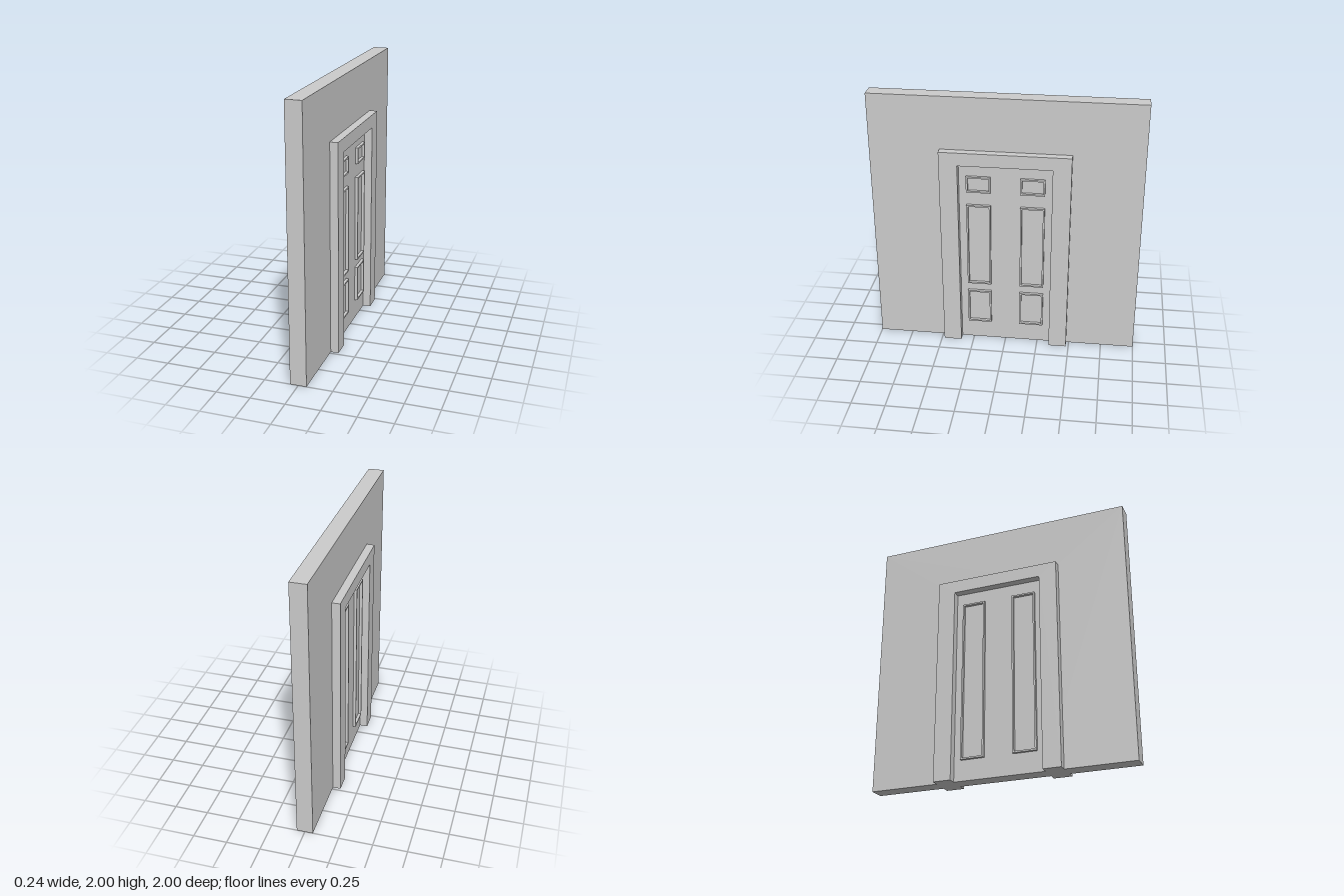
import * as THREE from 'three';

const material = new THREE.MeshStandardMaterial({ color: 0xcccccc });

const WALL = 0.06;          // half thickness of wall and door
const CASING = 0.06;        // projection of the door casing
const MOULDING = 0.022;     // projection of the panel mouldings
const OPENING = { w: 0.345, h: 1.5 };

// Outline of an upright arch standing on the floor, open at the bottom
function portalShape(outerW, outerH) {
  return new THREE.Shape([
    [-outerW, 0], [-OPENING.w, 0], [-OPENING.w, OPENING.h], [OPENING.w, OPENING.h],
    [OPENING.w, 0], [outerW, 0], [outerW, outerH], [-outerW, outerH],
  ].map(([x, y]) => new THREE.Vector2(x, y)));
}

function rectPoints(x0, x1, y0, y1) {
  return [[x0, y0], [x1, y0], [x1, y1], [x0, y1]].map(([x, y]) => new THREE.Vector2(x, y));
}

// Extrude a shape drawn on the door face, starting at depth z
function extruded(name, shape, depth, z) {
  const geometry = new THREE.ExtrudeGeometry(shape, { depth, bevelEnabled: false });
  const mesh = new THREE.Mesh(geometry, material);
  mesh.position.z = z;
  mesh.name = name;
  return mesh;
}

// Thin raised rectangular frame around one door panel
function panelMoulding(x0, x1, y0, y1) {
  const t = 0.012;
  const shape = new THREE.Shape(rectPoints(x0, x1, y0, y1));
  shape.holes.push(new THREE.Path(rectPoints(x0 + t, x1 - t, y0 + t, y1 - t).reverse()));
  return extruded('panelMoulding', shape, MOULDING, WALL);
}

// Casing and mouldings of one side, each row giving a panel's bottom and top
function doorSide(name, rows, angle) {
  const side = new THREE.Group();
  side.name = name;
  side.add(extruded('doorCasing', portalShape(0.48, 1.6), CASING, WALL));
  for (const [y0, y1] of rows) {
    side.add(panelMoulding(-0.29, -0.11, y0, y1), panelMoulding(0.11, 0.29, y0, y1));
  }
  side.rotation.y = angle;
  return side;
}

export function createModel() {
  const model = new THREE.Group();
  model.name = 'doorInWall';

  // Wall with doorway
  const wall = new THREE.Group();
  wall.name = 'wall';
  wall.add(extruded('wallBody', portalShape(1, 2), WALL * 2, -WALL));
  wall.rotation.y = Math.PI / 2;

  // Door leaf flush with the wall
  const door = new THREE.Mesh(
    new THREE.BoxGeometry(WALL * 2, OPENING.h, OPENING.w * 2), material);
  door.position.y = OPENING.h / 2;
  door.name = 'doorLeaf';

  // Six panels on one side, two tall panels on the other
  model.add(wall, door,
    doorSide('sixPanelSide', [[0.155, 0.435], [0.5, 1.17], [1.275, 1.4]], Math.PI / 2),
    doorSide('twoPanelSide', [[0.155, 1.4]], -Math.PI / 2));
  return model;
}
